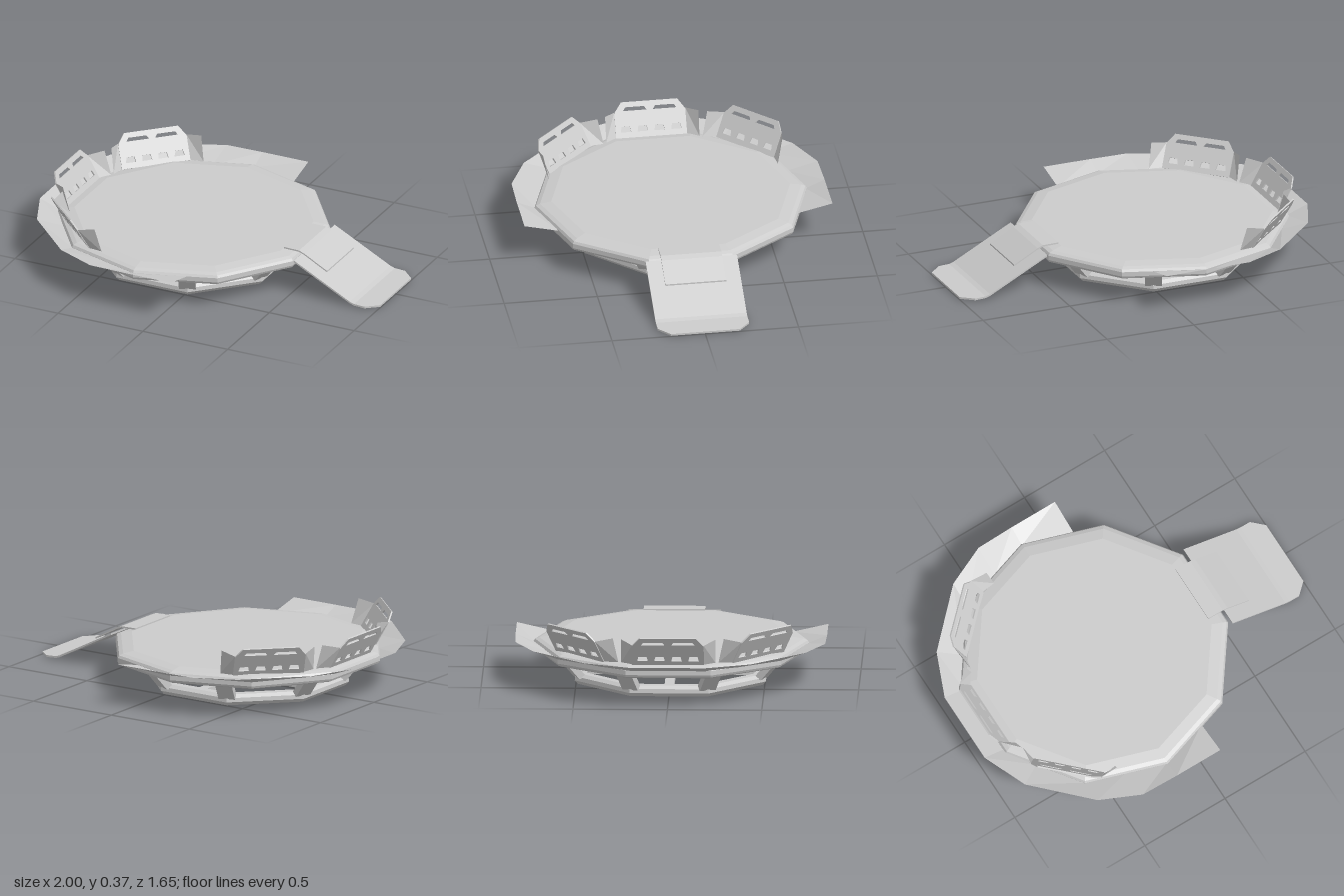
import * as THREE from 'three';

const CX = -0.19; // centre of the round platform
const grey = new THREE.MeshStandardMaterial({ color: 0xcccccc, flatShading: true });
const thin = new THREE.MeshStandardMaterial({ color: 0xcccccc, flatShading: true, side: THREE.DoubleSide });

function add(parent, name, geometry, material = grey) {
  const mesh = new THREE.Mesh(geometry, material);
  mesh.name = name;
  parent.add(mesh);
  return mesh;
}

// Surface through rows of points, all rows having the same number of points
function loft(rows) {
  const n = rows[0].length;
  const index = [];
  for (let r = 0; r < rows.length - 1; r++) {
    for (let i = 0; i < n - 1; i++) {
      const a = r * n + i, b = a + n;
      index.push(a, b, a + 1, b, b + 1, a + 1);
    }
  }
  const g = new THREE.BufferGeometry();
  g.setAttribute('position', new THREE.Float32BufferAttribute(rows.flat(2), 3));
  g.setIndex(index);
  g.computeVertexNormals();
  return g;
}

// Thin bent plate running along x: stations of [x, top y, half width]
function plate(stations, t) {
  const rows = stations.map(([x, y, w]) => [
    [x, y, -w], [x, y, w], [x, y - t, w], [x, y - t, -w], [x, y, -w]]);
  const cap = ([x, y]) => Array.from({ length: 5 }, () => [x, y - t / 2, 0]);
  return loft([cap(stations[0]), ...rows, cap(stations[stations.length - 1])]);
}

function lathe(profile, sides, start = 0) {
  return new THREE.LatheGeometry(profile.map(([r, y]) => new THREE.Vector2(r, y)), sides, start);
}

function rectHole(x, y, w, h, skew = 0) {
  return new THREE.Path([
    [x - w / 2, y], [x + w / 2, y], [x + w / 2 - skew, y + h], [x - w / 2 + skew, y + h],
  ].map(p => new THREE.Vector2(...p)));
}

// Folded shield with slots, facing -x, local origin at the platform axis
function createShield() {
  const shield = new THREE.Group();
  shield.name = 'shield';
  const outline = [[-0.19, 0], [0.19, 0], [0.19, 0.135], [0.15, 0.19], [-0.15, 0.19], [-0.19, 0.135]];
  const shape = new THREE.Shape(outline.map(p => new THREE.Vector2(...p)));
  for (const x of [-0.08, 0.08]) shape.holes.push(rectHole(x, 0.143, 0.125, 0.019, 0.012));
  for (const x of [-0.135, -0.045, 0.045, 0.135]) shape.holes.push(rectHole(x, 0.03, 0.056, 0.03, 0.006));
  const g = new THREE.ExtrudeGeometry(shape, { depth: 0.008, bevelEnabled: false });
  g.rotateX(Math.PI / 6);
  g.rotateY(-Math.PI / 2);
  g.translate(-0.65, 0.21, 0);
  add(shield, 'shieldBody', g);
  for (const s of [1, -1]) {
    add(shield, 'shieldWing', loft([
      [[-0.655, 0.21, 0.19 * s], [-0.723, 0.328, 0.19 * s]],
      [[-0.61, 0.21, 0.25 * s], [-0.65, 0.345, 0.25 * s]],
    ]), thin);
  }
  return shield;
}

export function createModel() {
  const model = new THREE.Group();
  model.name = 'platform';
  const round = new THREE.Group();
  round.name = 'roundPlatform';
  round.position.x = CX;
  model.add(round);

  // Ten-sided deck with a rounded rim
  add(round, 'deckAndRim', lathe([
    [0, 0.14], [0.705, 0.14], [0.724, 0.148], [0.73, 0.16], [0.73, 0.185],
    [0.722, 0.198], [0.70, 0.207], [0.64, 0.217], [0, 0.217]], 10));

  // Eight-sided base ring
  add(round, 'baseRing', lathe([
    [0.48, 0], [0.53, 0], [0.548, 0.02], [0.546, 0.042], [0.525, 0.057],
    [0.48, 0.057], [0.48, 0]], 8, Math.PI / 8));

  // Sloping legs at the ring corners
  for (let i = 0; i < 8; i++) {
    const g = new THREE.BoxGeometry(0.05, 0.12, 0.09);
    const p = g.attributes.position;
    for (let k = 0; k < p.count; k++) p.setX(k, p.getX(k) + p.getY(k) * 0.85);
    g.translate(0.565, 0.095, 0);
    g.computeVertexNormals();
    add(round, 'leg', g).rotation.y = Math.PI / 8 + i * Math.PI / 4;
  }

  // Crossed braces inside the ring
  for (let i = 0; i < 2; i++) {
    const brace = add(round, 'crossBrace', new THREE.BoxGeometry(0.98, 0.035, 0.05));
    brace.position.y = 0.03 + i * 0.001;
    brace.rotation.y = i * Math.PI / 2;
  }

  // Three shields around the far end
  for (const a of [-46, 0, 46]) {
    const shield = createShield();
    shield.rotation.y = THREE.MathUtils.degToRad(a);
    round.add(shield);
  }

  // Flared skirt: [outer x, outer z, inner x, inner z], mirrored in z
  const half = [
    [0.08, 0.825, 0.08, 0.635], [-0.19, 0.825, -0.19, 0.722], [-0.4, 0.82, -0.4, 0.655],
    [-0.62, 0.72, -0.62, 0.585], [-0.9, 0.44, -0.78, 0.365], [-1, 0.2, -0.88, 0.2]];
  const all = [...half, ...half.slice().reverse().map(([a, b, c, d]) => [a, -b, c, -d])];
  add(model, 'skirt', loft(all.map(([ox, oz, ix, iz]) => [[ox, 0.226, oz], [ix, 0.182, iz]])), thin);

  // Entry ramp with clipped corners, and the hinge plate over its top
  add(model, 'ramp', plate([
    [0.52, 0.2, 0.245], [0.85, 0.028, 0.245], [0.875, 0.02, 0.245],
    [0.935, 0.017, 0.245], [1, 0.014, 0.185]], 0.01), thin);
  add(model, 'hingePlate', plate([
    [0.42, 0.224, 0.163], [0.51, 0.222, 0.163], [0.54, 0.21, 0.163], [0.675, 0.137, 0.163]], 0.008), thin);

  return model;
}
